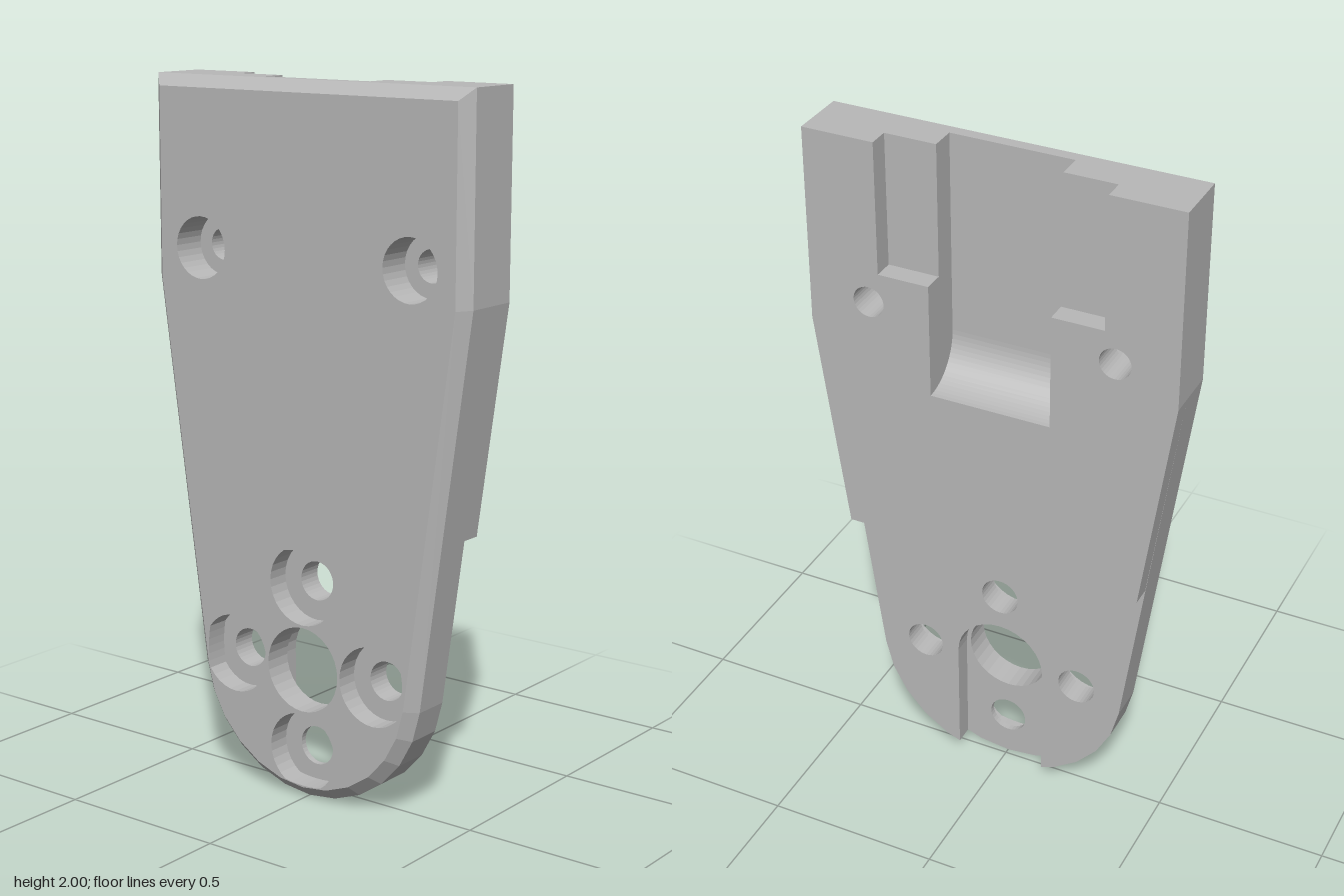
import * as THREE from 'three';

const R = 0.38, CY = 0.38;               // rounded foot: radius and centre height
const TILT = THREE.MathUtils.degToRad(82); // where the foot meets the tapering side
const V = (x, y) => new THREE.Vector2(x, y);

// right half of the plate outline, bottom to top, shrunk by d
function rightSide(d = 0) {
  const pts = [];
  for (let i = 0; i <= 6; i++) {
    const a = (TILT * i) / 6;
    pts.push(V((R - d) * Math.sin(a), CY - (R - d) * Math.cos(a)));
  }
  pts.push(V(0.53 - d, 1.44 - d * 0.07), V(0.53 - d, 2 - d));
  return pts;
}

// closed outline from a right half, mirrored; points on the axis are not repeated
function mirror(half) {
  const left = half.filter(p => p.x > 1e-6).map(p => V(-p.x, p.y)).reverse();
  return [...half, ...left];
}

// hole outline, kept inside the bevelled foot
function circle(x, y, r) {
  const pts = [];
  for (let i = 0; i < 32; i++) {
    const a = (i / 32) * Math.PI * 2;
    const p = V(x + r * Math.cos(a), y + r * Math.sin(a) - CY);
    if (y < 1 && p.length() > 0.342) p.setLength(0.342);
    pts.push(V(p.x, p.y + CY));
  }
  return pts;
}

export function createModel() {
  const group = new THREE.Group();
  const grey = new THREE.MeshStandardMaterial({ color: 0xb8b8b8 });
  grey.name = 'plainGrey';

  const add = (name, geo) => {
    const mesh = new THREE.Mesh(geo, grey);
    mesh.name = name;
    group.add(mesh);
  };
  const slab = (name, outline, holes, zBack, zFront) => {
    const shape = new THREE.Shape(outline);
    shape.holes = holes.map(h => new THREE.Path(h));
    const geo = new THREE.ExtrudeGeometry(shape, { depth: zFront - zBack, bevelEnabled: false });
    add(name, geo.translate(0, 0, zBack));
  };

  // screw holes and the central bore
  const upper = r => [-0.354, 0.354].map(x => circle(x, 1.53, r));
  const sides = r => [-0.242, 0.242].map(x => circle(x, CY, r));
  const axis = r => [CY - 0.242, CY + 0.242].map(y => circle(0, y, r));
  const bore = circle(0, CY, 0.122);
  const wide = [...upper(0.087), ...sides(0.113), ...axis(0.113), bore];

  // notches cut into the top edge
  const channel = [V(0.175, 2), V(0.175, 1.287)];
  const ledge = [V(0.323, 2), V(0.323, 1.62), V(0.175, 1.62), V(0.175, 1.287)];

  // front face with bevelled rim
  const front = mirror(rightSide(0.033)), full = mirror(rightSide());
  slab('frontFace', front, wide, 0.067, 0.1);
  const rim = [];
  full.forEach((a, i) => {
    const j = (i + 1) % full.length;
    const b = full[j], c = front[j], d = front[i];
    rim.push(a.x, a.y, 0.067, b.x, b.y, 0.067, c.x, c.y, 0.1);
    rim.push(a.x, a.y, 0.067, c.x, c.y, 0.1, d.x, d.y, 0.1);
  });
  const rimGeo = new THREE.BufferGeometry();
  rimGeo.setAttribute('position', new THREE.Float32BufferAttribute(rim, 3));
  rimGeo.computeVertexNormals();
  add('bevelledRim', rimGeo);

  // main plate: counterbored layer, then the layer with the channel
  slab('counterboreLayer', full, wide, 0.033, 0.067);
  slab('webLayer', mirror([...rightSide(), ...channel]),
    [...upper(0.087), ...sides(0.056), ...axis(0.056), bore], 0.015, 0.033);

  // layers with the round-topped slot open at the foot
  const w = 0.135;
  const slot = [];
  for (let i = 0; i <= 8; i++) {
    const a = (Math.PI / 2) * (1 - i / 8);
    slot.push(V(i === 8 ? w : w * Math.cos(a), CY + w * Math.sin(a)));
  }
  slot[0].x = 0;
  const slotted = mirror([...slot, V(w, 0.0276),
    ...rightSide().filter(p => p.x > w), ...channel]);
  const topOfFoot = circle(0, CY + 0.242, 0.056);
  slab('slotLayerFront', slotted, [...upper(0.087), ...sides(0.056), topOfFoot], 0, 0.015);
  slab('slotLayerBack', slotted, [...upper(0.045), ...sides(0.056), topOfFoot], -0.04, 0);

  // raised back pad with stepped top notch
  slab('backPad', mirror([V(0.44, 0.795), V(0.53, 1.44), V(0.53, 2), ...ledge]),
    upper(0.045), -0.1, -0.04);

  // concave run-out at the lower end of the channel
  const r = 0.133;
  const profile = [V(0.033, 1.287)];
  for (let i = 16; i >= 0; i--) {
    const a = (Math.PI / 2) * (i / 16);
    profile.push(V(-0.1 + r * Math.sin(a), 1.287 + r - r * Math.cos(a)));
  }
  const runOut = new THREE.ExtrudeGeometry(new THREE.Shape(profile), { depth: 0.35, bevelEnabled: false });
  add('channelRunOut', runOut.rotateY(-Math.PI / 2).translate(0.175, 0, 0));

  return group;
}
